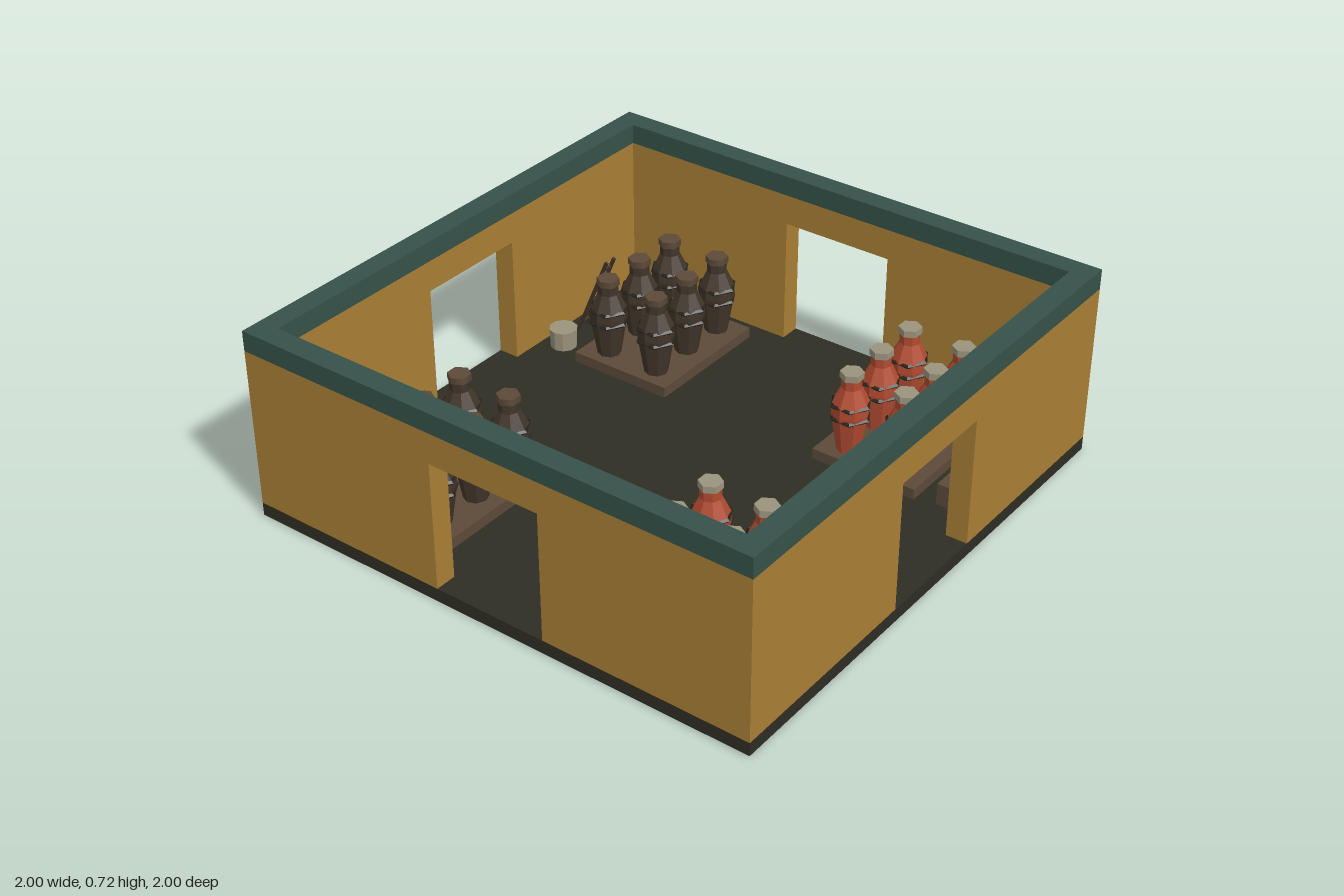
import * as THREE from 'three';

const mat = (name, color) => {
  const m = new THREE.MeshStandardMaterial({ color });
  m.name = name;
  return m;
};

export function createModel() {
  const M = {
    floor: mat('dark floor', 0x2e2d24),
    wall: mat('ochre wall', 0xa87f35),
    trim: mat('dark green trim', 0x36524a),
    wood: mat('brown wood', 0x5c4a38),
    red: mat('red clay', 0xb04a30),
    dark: mat('dark clay', 0x41352a),
    band: mat('black band', 0x26231d),
    pale: mat('pale stone', 0x9a937c),
  };
  for (const k of ['red', 'dark', 'pale', 'band']) M[k].flatShading = true;

  const root = new THREE.Group();
  root.name = 'storehouse';
  const add = (parent, name, geo, material, x = 0, y = 0, z = 0) => {
    const mesh = new THREE.Mesh(geo, material);
    mesh.name = name;
    mesh.position.set(x, y, z);
    parent.add(mesh);
    return mesh;
  };
  const box = (parent, name, m, w, h, d, x, y, z) =>
    add(parent, name, new THREE.BoxGeometry(w, h, d), m, x, y, z);

  const FLOOR = 0.05, WALL_TOP = 0.645, TOP = 0.72, T = 0.08;
  box(root, 'floor', M.floor, 2, FLOOR, 2, 0, FLOOR / 2, 0);

  // Four walls, each with a doorway; the side walls fit between the others
  const wallGeometry = (half) => {
    const s = new THREE.Shape();
    [[-half, FLOOR], [-0.216, FLOOR], [-0.216, 0.53], [0.216, 0.53], [0.216, FLOOR],
      [half, FLOOR], [half, WALL_TOP], [-half, WALL_TOP]]
      .forEach(([x, y], i) => (i ? s.lineTo(x, y) : s.moveTo(x, y)));
    return new THREE.ExtrudeGeometry(s, { depth: T, bevelEnabled: false }).translate(0, 0, 1 - T);
  };
  ['frontWall', 'leftWall', 'backWall', 'rightWall'].forEach((name, i) => {
    add(root, name, wallGeometry(i % 2 ? 1 - T : 1), M.wall).rotation.y = i * Math.PI / 2;
  });

  // Coping ring along the top of the walls
  const square = (path, r) => path.moveTo(-r, -r).lineTo(r, -r).lineTo(r, r).lineTo(-r, r).closePath();
  const ring = square(new THREE.Shape(), 1);
  ring.holes.push(square(new THREE.Path(), 1 - T));
  const coping = new THREE.ExtrudeGeometry(ring, { depth: TOP - WALL_TOP, bevelEnabled: false });
  add(root, 'coping', coping.rotateX(-Math.PI / 2), M.trim, 0, WALL_TOP, 0);

  // Jar parts, heights measured from the jar's base
  const profile = [[0, 0], [0.044, 0], [0.068, 0.15], [0.066, 0.19], [0.037, 0.25], [0.037, 0.285], [0, 0.285]]
    .map(([x, y]) => new THREE.Vector2(x, y));
  const bodyGeo = new THREE.LatheGeometry(profile, 8);
  const bandGeo = new THREE.TorusGeometry(0.068, 0.008, 4, 6).rotateX(Math.PI / 2);
  const lidGeo = new THREE.CylinderGeometry(0.042, 0.042, 0.025, 6);
  const makeJar = (clay, lid) => {
    const jar = new THREE.Group();
    jar.name = 'jar';
    add(jar, 'jarBody', bodyGeo, clay);
    add(jar, 'jarBand', bandGeo, M.band, 0, 0.135, 0);
    add(jar, 'shoulderBand', bandGeo, M.band, 0, 0.185, 0);
    add(jar, 'jarLid', lidGeo, lid, 0, 0.2975, 0);
    return jar;
  };

  // Four pallets with six jars each
  for (const sx of [-1, 1]) {
    for (const sz of [-1, 1]) {
      const stack = new THREE.Group();
      stack.name = 'jarPallet';
      stack.position.set(sx * 0.524, FLOOR, sz * 0.584);
      box(stack, 'pallet', M.wood, 0.41, 0.04, 0.524, 0, 0.02, 0);
      for (const x of [-0.108, 0.108]) {
        for (const z of [-0.183, 0, 0.183]) {
          const jar = sx > 0 ? makeJar(M.red, M.pale) : makeJar(M.dark, M.wood);
          jar.position.set(x, 0.04, z);
          stack.add(jar);
        }
      }
      root.add(stack);
    }
  }

  // Small ladder leaning on the jars
  const ladder = new THREE.Group();
  ladder.name = 'ladder';
  const length = 0.36;
  for (const z of [-0.022, 0.022]) box(ladder, 'ladderRail', M.dark, 0.012, length, 0.01, 0, length / 2, z);
  for (let i = 0; i < 6; i++) box(ladder, 'ladderRung', M.dark, 0.01, 0.01, 0.04, 0, 0.04 + i * 0.056, 0);
  ladder.position.set(-0.865, FLOOR, -0.53);
  ladder.rotation.z = -0.4;
  root.add(ladder);

  // Stone drum, crate and bench with a row of pegs
  add(root, 'stoneDrum', new THREE.CylinderGeometry(0.053, 0.05, 0.075, 10), M.pale, -0.838, FLOOR + 0.0375, -0.387);
  box(root, 'crate', M.wood, 0.083, 0.083, 0.083, 0.844, FLOOR + 0.0415, -0.387);
  box(root, 'bench', M.wood, 0.1, 0.12, 0.292, -0.87, FLOOR + 0.06, 0.577);
  for (let i = 0; i < 6; i++) {
    box(root, 'benchPeg', M.pale, 0.025, 0.03, 0.02, -0.868, FLOOR + 0.135, 0.46 + i * 0.047);
  }
  return root;
}
